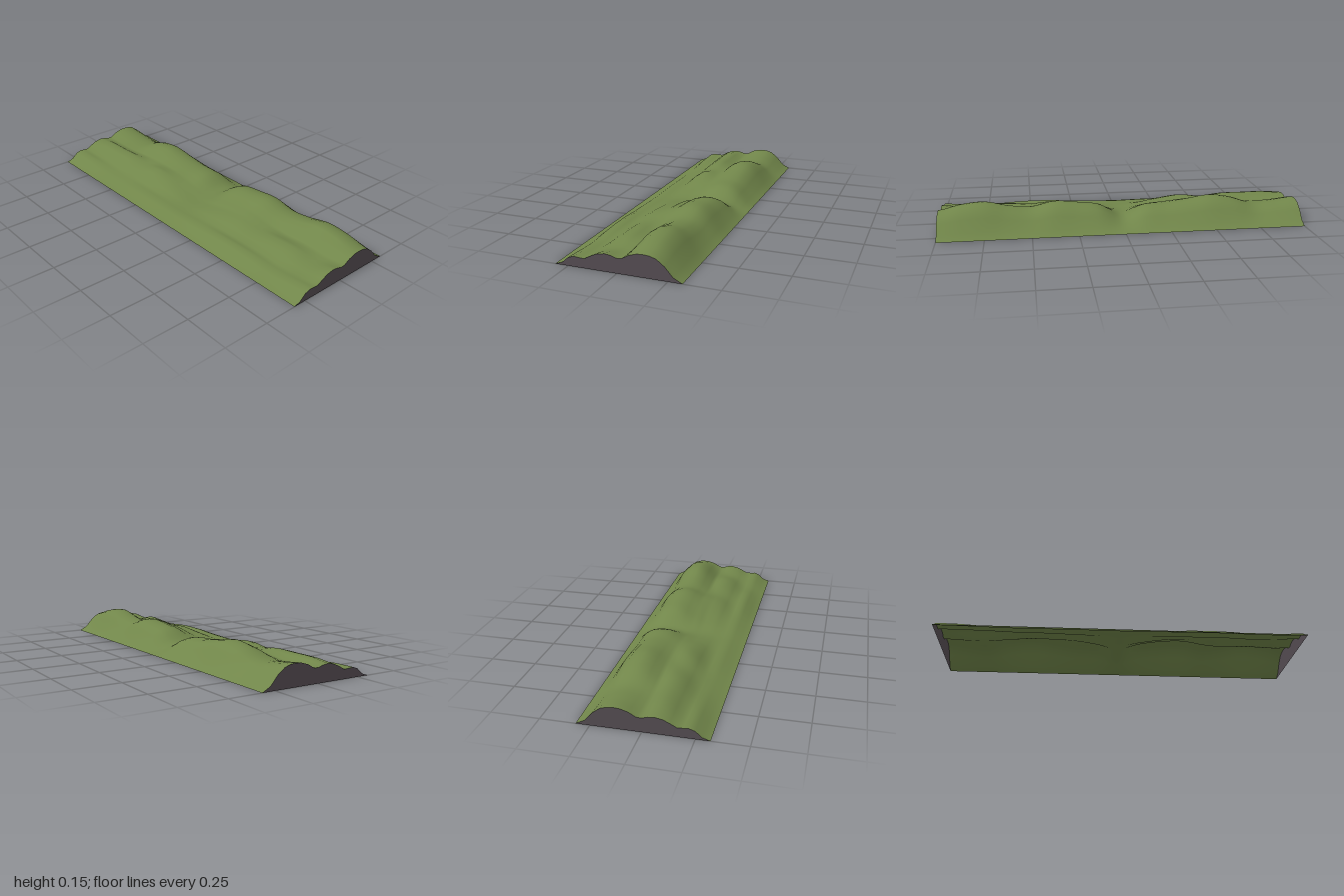
import * as THREE from 'three';

// Ridge and valley heights along x, every 0.125 from -1 to 1
const ridges = {
  back: [.112, .096, .088, .127, .143, .125, .108, .1, .05, .112, .13, .14, .113, .125, .152, .142, .112],
  dip: [.075, .07, .07, .08, .09, .09, .085, .065, .043, .075, .095, .1, .08, .07, .075, .07, .075],
  mid: [.088, .1, .1, .1, .085, .1, .083, .055, .037, .055, .075, .085, .075, .085, .085, .066, .088],
  shelf: [.048, .045, .045, .04, .04, .038, .035, .033, .03, .035, .04, .04, .04, .04, .035, .04, .048],
  front: [.052, .05, .04, .03, .028, .032, .033, .032, .03, .035, .04, .048, .05, .045, .035, .042, .052],
};
const curves = {};
for (const [name, heights] of Object.entries(ridges)) {
  curves[name] = new THREE.SplineCurve(heights.map((h, i) => new THREE.Vector2(-1 + i / 8, h)));
}

// Cross-section of the hills at t = 0..1 along x, from the back edge to the front edge
function crossSection(t) {
  const h = {};
  for (const name in curves) h[name] = curves[name].getPoint(t).y;
  const mix = THREE.MathUtils.lerp;
  return [
    [-.32, 0], [-.275, h.back * .21], [-.235, h.back * .62], [-.195, h.back * .89],
    [-.16, h.back * .98], [-.13, h.back], [-.1, h.back * .98],
    [-.06, mix(h.dip, h.back, .6)], [-.025, mix(h.dip, h.back, .05)], [0, h.dip],
    [.03, mix(h.dip, h.mid, .7)], [.06, h.mid], [.1, mix(h.shelf, h.mid, .82)],
    [.132, mix(h.shelf, h.mid, .45)], [.165, h.shelf], [.195, mix(h.shelf, h.front, .4)],
    [.22, h.front], [.25, h.front * .8], [.282, h.front * .25], [.32, 0],
  ];
}

// Open-bottomed surface lofted through the cross-sections
function hillSurface(segments) {
  const positions = [], index = [];
  let rows = 0;
  for (let i = 0; i <= segments; i++) {
    const section = crossSection(i / segments);
    rows = section.length;
    for (const [z, y] of section) positions.push(-1 + 2 * i / segments, y, z);
  }
  for (let i = 0; i < segments; i++) {
    for (let j = 0; j < rows - 1; j++) {
      const a = i * rows + j, b = a + rows;
      index.push(a, a + 1, b, b, a + 1, b + 1);
    }
  }
  const geometry = new THREE.BufferGeometry();
  geometry.setAttribute('position', new THREE.Float32BufferAttribute(positions, 3));
  geometry.setIndex(index);
  geometry.computeVertexNormals();
  return geometry;
}

export function createModel() {
  const group = new THREE.Group();
  group.name = 'hillStrip';

  const grass = new THREE.MeshStandardMaterial({ color: 0x71864a, side: THREE.DoubleSide });
  const earth = new THREE.MeshStandardMaterial({ color: 0x544c52, side: THREE.DoubleSide });

  const hills = new THREE.Mesh(hillSurface(80), grass);
  hills.name = 'hills';
  group.add(hills);

  // Flat cut ends following the cross-section
  for (const side of [-1, 1]) {
    const outline = crossSection((side + 1) / 2).map(([z, y]) => new THREE.Vector2(-side * z, y));
    const end = new THREE.Mesh(new THREE.ShapeGeometry(new THREE.Shape(outline)), earth);
    end.name = side > 0 ? 'leftEnd' : 'rightEnd';
    end.rotation.y = side * Math.PI / 2;
    end.position.x = side;
    group.add(end);
  }
  return group;
}
